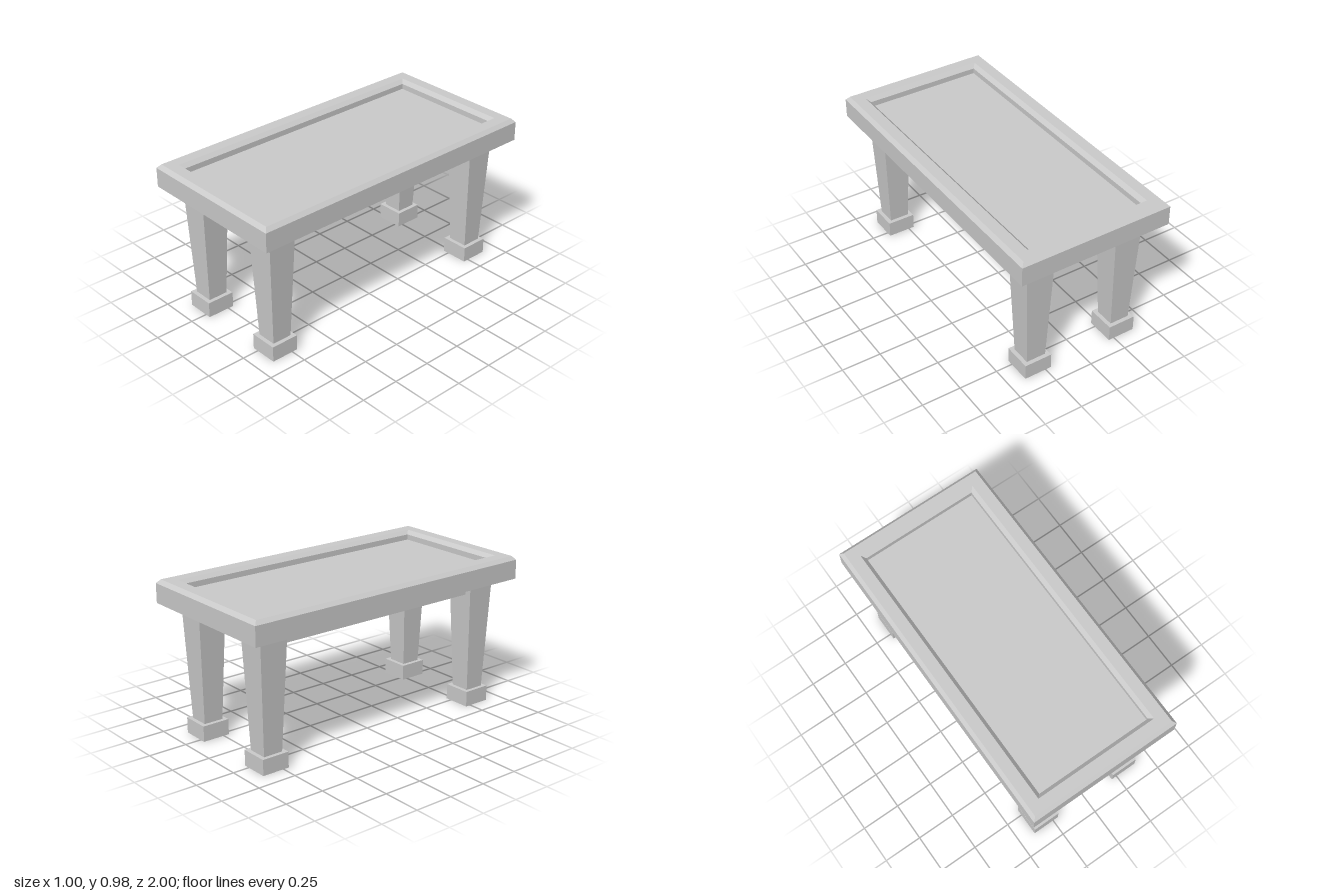
import * as THREE from 'three';

const material = new THREE.MeshStandardMaterial({ color: 0xcccccc, flatShading: true });

// Skins a stack of rectangles [halfX, halfZ, y], ordered from the underside
// outwards and up; a zero-size rectangle closes an end.
function rectLoft(rings) {
  const corners = [[1, 1], [1, -1], [-1, -1], [-1, 1]];
  const point = ([hx, hz, y], i) => [corners[i % 4][0] * hx, y, corners[i % 4][1] * hz];
  const pos = [];
  for (let r = 0; r < rings.length - 1; r++) {
    const lo = rings[r], hi = rings[r + 1];
    for (let i = 0; i < 4; i++) {
      const a = point(lo, i), b = point(lo, i + 1), c = point(hi, i + 1), d = point(hi, i);
      if (lo[0] > 0) pos.push(...a, ...b, ...c);
      if (hi[0] > 0) pos.push(...a, ...c, ...d);
      else pos.push(...a, ...c, ...d);
    }
  }
  // drop zero-area triangles left at the closed ends
  const clean = [];
  const tri = new THREE.Triangle();
  for (let i = 0; i < pos.length; i += 9) {
    tri.a.fromArray(pos, i);
    tri.b.fromArray(pos, i + 3);
    tri.c.fromArray(pos, i + 6);
    if (tri.getArea() > 1e-9) clean.push(...pos.slice(i, i + 9));
  }
  const geometry = new THREE.BufferGeometry();
  geometry.setAttribute('position', new THREE.Float32BufferAttribute(clean, 3));
  geometry.computeVertexNormals();
  return geometry;
}

function add(parent, name, geometry, x = 0, y = 0, z = 0) {
  const mesh = new THREE.Mesh(geometry, material);
  mesh.name = name;
  mesh.position.set(x, y, z);
  parent.add(mesh);
}

export function createModel() {
  const table = new THREE.Group();
  table.name = 'table';

  // Top with a bevelled rim around a sunken panel
  add(table, 'tableTop', rectLoft([
    [0, 0, 0.828], [0.5, 1, 0.828], [0.5, 1, 0.951], [0.478, 0.978, 0.975],
    [0.405, 0.907, 0.975], [0.381, 0.883, 0.951], [0.381, 0.883, 0.916], [0, 0, 0.916],
  ]));

  // Tapered legs on block feet
  const legX = 0.303, legZ = 0.803;
  const legGeometry = rectLoft([
    [0, 0, 0.1], [0.064, 0.064, 0.1], [0.093, 0.093, 0.828], [0, 0, 0.828],
  ]);
  const footGeometry = new THREE.BoxGeometry(0.18, 0.1, 0.18);
  for (const sz of [1, -1]) {
    for (const sx of [1, -1]) {
      const where = (sz > 0 ? 'front' : 'back') + (sx > 0 ? 'Left' : 'Right');
      add(table, where + 'Leg', legGeometry, sx * legX, 0, sz * legZ);
      add(table, where + 'Foot', footGeometry, sx * legX, 0.05, sz * legZ);
    }
  }

  // Apron rails running between the legs
  const railH = 0.083, railT = 0.1, railY = 0.828 - railH / 2;
  const sideRail = new THREE.BoxGeometry(railT, railH, legZ * 2 - 0.17);
  const endRail = new THREE.BoxGeometry(legX * 2 - 0.17, railH, railT);
  for (const s of [1, -1]) {
    add(table, s > 0 ? 'leftRail' : 'rightRail', sideRail, s * legX, railY, 0);
    add(table, s > 0 ? 'frontRail' : 'backRail', endRail, 0, railY, s * legZ);
  }

  return table;
}
